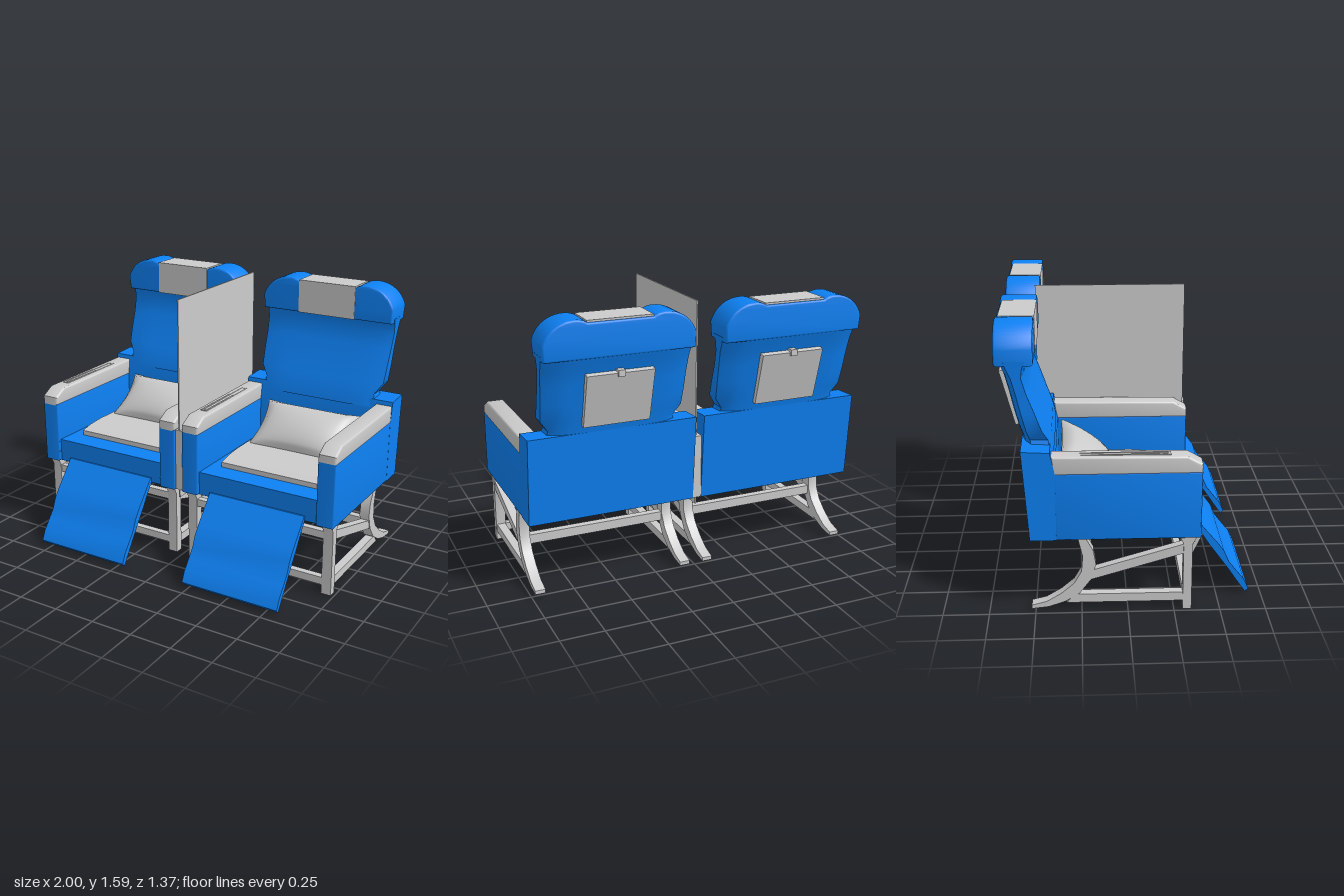
import * as THREE from 'three';
import { toCreasedNormals, mergeVertices } from 'three/addons/utils/BufferGeometryUtils.js';

const blue = new THREE.MeshStandardMaterial({ color: 0x0d80f2 });
const grey = new THREE.MeshStandardMaterial({ color: 0xcccccc });

function add(parent, name, geometry, material) {
  const mesh = new THREE.Mesh(geometry, material);
  mesh.name = name;
  parent.add(mesh);
  return mesh;
}

const shapeOf = (pts) => new THREE.Shape(pts.map(([a, b]) => new THREE.Vector2(a, b)));

// Side profile of [z, y] points, extruded across x and centred on cx
function sideProfile(pts, width, cx = 0, bevel = 0) {
  const g = new THREE.ExtrudeGeometry(shapeOf(pts), {
    depth: width - 2 * bevel, bevelEnabled: bevel > 0, bevelSize: bevel,
    bevelThickness: bevel, bevelOffset: -bevel, bevelSegments: 3,
  });
  g.rotateY(-Math.PI / 2);
  g.translate(cx + width / 2 - bevel, 0, 0);
  return toCreasedNormals(g, 0.6);
}

function box(x0, x1, y0, y1, z0, z1) {
  const g = new THREE.BoxGeometry(x1 - x0, y1 - y0, z1 - z0);
  return g.translate((x0 + x1) / 2, (y0 + y1) / 2, (z0 + z1) / 2);
}

// Square rod between two points
function rod(a, b, t) {
  const p = new THREE.Vector3(...a), q = new THREE.Vector3(...b);
  const d = q.clone().sub(p);
  const g = new THREE.BoxGeometry(t, d.length(), t);
  g.applyQuaternion(new THREE.Quaternion().setFromUnitVectors(new THREE.Vector3(0, 1, 0), d.normalize()));
  const m = p.add(q).multiplyScalar(0.5);
  return g.translate(m.x, m.y, m.z);
}

// Apply a rule to every vertex
function reshape(g, rule) {
  const pos = g.attributes.position, v = new THREE.Vector3();
  for (let i = 0; i < pos.count; i++) {
    rule(v.fromBufferAttribute(pos, i));
    pos.setXYZ(i, v.x, v.y, v.z);
  }
  return g;
}

// Backrest: levels of [y, half width, front z, back z]
function backrestGeometry() {
  const levels = [
    [0.88, 0.385, -0.385, -0.545], [0.955, 0.36, -0.4, -0.558], [1.02, 0.405, -0.43, -0.575],
    [1.12, 0.41, -0.465, -0.6], [1.22, 0.413, -0.503, -0.622], [1.31, 0.418, -0.528, -0.645],
    [1.36, 0.42, -0.522, -0.668], [1.4, 0.423, -0.505, -0.68],
  ];
  const n = levels.length - 1;
  const g = new THREE.BoxGeometry(2, 1, 2, 14, n, 1);
  reshape(g, (v) => {
    const [y, w, front, back] = levels[Math.round((v.y + 0.5) * n)];
    const u = Math.abs(v.x);
    const z = v.z > 0 ? front - 0.015 * u ** 6 : back + 0.05 * u ** 6;
    v.set(v.x * w, y, z);
  });
  return toCreasedNormals(g, 0.7);
}

// Headrest with a raised rounded lobe on each side
function headrestGeometry() {
  const s = new THREE.Shape();
  s.moveTo(-0.42, 1.375);
  s.lineTo(0.42, 1.375);
  s.lineTo(0.427, 1.46);
  s.bezierCurveTo(0.4, 1.54, 0.33, 1.585, 0.25, 1.585);
  s.quadraticCurveTo(0.21, 1.585, 0.18, 1.565);
  s.lineTo(-0.18, 1.565);
  s.quadraticCurveTo(-0.21, 1.585, -0.25, 1.585);
  s.bezierCurveTo(-0.33, 1.585, -0.4, 1.54, -0.427, 1.46);
  const b = 0.012;
  const g = new THREE.ExtrudeGeometry(s, {
    depth: 0.2 - 2 * b, bevelSize: b, bevelThickness: b, bevelOffset: -b, bevelSegments: 3, curveSegments: 10,
  });
  return toCreasedNormals(g.translate(0, 0, -0.68 + b), 0.7);
}

// Loose pillow: pinched edges, pointed corners, leaning on the backrest
function pillowGeometry() {
  let g = new THREE.BoxGeometry(2, 2, 2, 16, 16, 1);
  reshape(g, (v) => {
    const { x: u, y: w } = v;
    const fat = 0.008 + 0.08 * ((1 - u * u) * (1 - w * w)) ** 0.5;
    v.set(u * 0.305 * (1 - 0.09 * (1 - w * w)), w * 0.175 * (1 - 0.07 * (1 - u * u)), v.z * fat);
  });
  g.deleteAttribute('normal');
  g.deleteAttribute('uv');
  g = mergeVertices(g);
  g.computeVertexNormals();
  return g.rotateX(-0.92).translate(0, 0.715, -0.215);
}

// Frame of one side: front post, diagonal, low rail and curved rear leg
function addLegs(parent, cx) {
  const legs = new THREE.Group();
  legs.name = 'sideFrame';
  parent.add(legs);
  add(legs, 'frontPost', sideProfile(
    [[0.345, 0], [0.345, 0.39], [0.37, 0.437], [0.275, 0.437], [0.297, 0.39], [0.297, 0]], 0.06, cx), grey);
  add(legs, 'diagonalBar', sideProfile([[0.3, 0.39], [0.3, 0.335], [-0.21, 0.185], [-0.19, 0.245]], 0.05, cx), grey);
  add(legs, 'lowRail', sideProfile([[0.3, 0.1], [0.3, 0.05], [-0.33, 0.05], [-0.29, 0.1]], 0.05, cx), grey);
  add(legs, 'rearLeg', sideProfile([
    [-0.225, 0.437], [-0.185, 0.36], [-0.172, 0.28], [-0.2, 0.19], [-0.26, 0.11], [-0.34, 0.06],
    [-0.43, 0.03], [-0.52, 0.02], [-0.52, 0.042], [-0.44, 0.062], [-0.36, 0.11], [-0.29, 0.17],
    [-0.25, 0.24], [-0.243, 0.33], [-0.268, 0.437]], 0.06, cx), grey);
}

function createSeat() {
  const seat = new THREE.Group();
  seat.name = 'seat';

  // Shell: base, rear block and two arms
  add(seat, 'seatBase', box(-0.385, 0.385, 0.435, 0.575, -0.4, 0.367), blue);
  add(seat, 'rearShell', sideProfile(
    [[-0.38, 0.435], [-0.38, 0.81], [-0.405, 0.93], [-0.555, 0.938], [-0.52, 0.435]], 0.975), blue);
  for (const side of [-1, 1]) {
    const cx = side * 0.434;
    add(seat, 'armPanel', sideProfile(
      [[0.388, 0.435], [0.388, 0.812], [-0.385, 0.812], [-0.385, 0.435]], 0.107, cx, 0.008), blue);
    add(seat, 'armrest', sideProfile(
      [[0.388, 0.805], [0.388, 0.856], [0.31, 0.9], [-0.4, 0.905], [-0.39, 0.805]], 0.107, cx, 0.012), grey);
    addLegs(seat, side * 0.44);
  }

  // Narrow slot frame on the right armrest
  const rim = shapeOf([[-0.02, -0.245], [0.02, -0.245], [0.02, 0.245], [-0.02, 0.245]]);
  rim.holes.push(new THREE.Path([[-0.01, -0.23], [-0.01, 0.23], [0.01, 0.23], [0.01, -0.23]]
    .map(([a, b]) => new THREE.Vector2(a, b))));
  const slot = new THREE.ExtrudeGeometry(rim, { depth: 0.01, bevelEnabled: false });
  add(seat, 'armrestSlot', slot.rotateX(-Math.PI / 2).translate(-0.438, 0.896, -0.022), grey);

  // Cushion and pillow
  add(seat, 'seatCushion', sideProfile(
    [[0.23, 0.57], [0.23, 0.605], [0.15, 0.622], [0.05, 0.63], [-0.29, 0.63], [-0.29, 0.57]], 0.62), grey);
  add(seat, 'pillow', pillowGeometry(), grey);

  // Backrest, headrest and its cover
  add(seat, 'backrest', backrestGeometry(), blue);
  add(seat, 'headrest', headrestGeometry(), blue);
  add(seat, 'headrestCover', box(-0.184, 0.184, 1.376, 1.576, -0.668, -0.477), grey);

  // Folded table on the back, with a latch
  add(seat, 'tableTray', sideProfile(
    [[-0.635, 1.29], [-0.672, 1.282], [-0.592, 0.98], [-0.56, 0.988]], 0.38), grey);
  add(seat, 'trayLatch', box(-0.02, 0.02, 1.265, 1.3, -0.682, -0.63), grey);

  // Leg rest: thin wavy sheet held by three rods
  add(seat, 'legRest', sideProfile([
    [0.36, 0.465], [0.375, 0.465], [0.44, 0.385], [0.5, 0.315], [0.54, 0.26], [0.568, 0.195], [0.61, 0.14],
    [0.655, 0.085], [0.683, 0.025], [0.665, 0.005], [0.62, 0.07], [0.57, 0.145], [0.52, 0.215],
    [0.455, 0.305], [0.41, 0.375], [0.36, 0.44]], 0.61), blue);
  for (const x of [-0.12, 0, 0.12]) {
    add(seat, 'legRestRod', rod([x, 0.325, 0.45], [x, 0.075, 0.335], 0.022), grey);
  }

  // Crossbars joining the two side frames
  add(seat, 'frontUpperCrossbar', box(-0.44, 0.44, 0.34, 0.385, 0.3, 0.34), grey);
  add(seat, 'frontLowerCrossbar', box(-0.44, 0.44, 0.052, 0.098, 0.3, 0.34), grey);
  add(seat, 'rearCrossbar', box(-0.44, 0.44, 0.195, 0.25, -0.24, -0.195), grey);
  return seat;
}

export function createModel() {
  const model = new THREE.Group();
  model.name = 'doubleSeat';

  // Two identical seats side by side
  for (const x of [-0.5125, 0.5125]) {
    const seat = createSeat();
    seat.position.x = x;
    model.add(seat);
  }

  // Console and privacy screen between the seats
  add(model, 'centreConsole', box(-0.026, 0.026, 0.437, 0.81, -0.52, 0.375), grey);
  add(model, 'privacyScreen', box(-0.004, 0.004, 0.39, 1.585, -0.5, 0.375), grey);
  for (const side of [-1, 1]) {
    add(model, 'centreStrut', rod([0, 0.4, -0.2], [side * 0.06, 0.3, -0.2], 0.018), grey);
  }
  return model;
}
